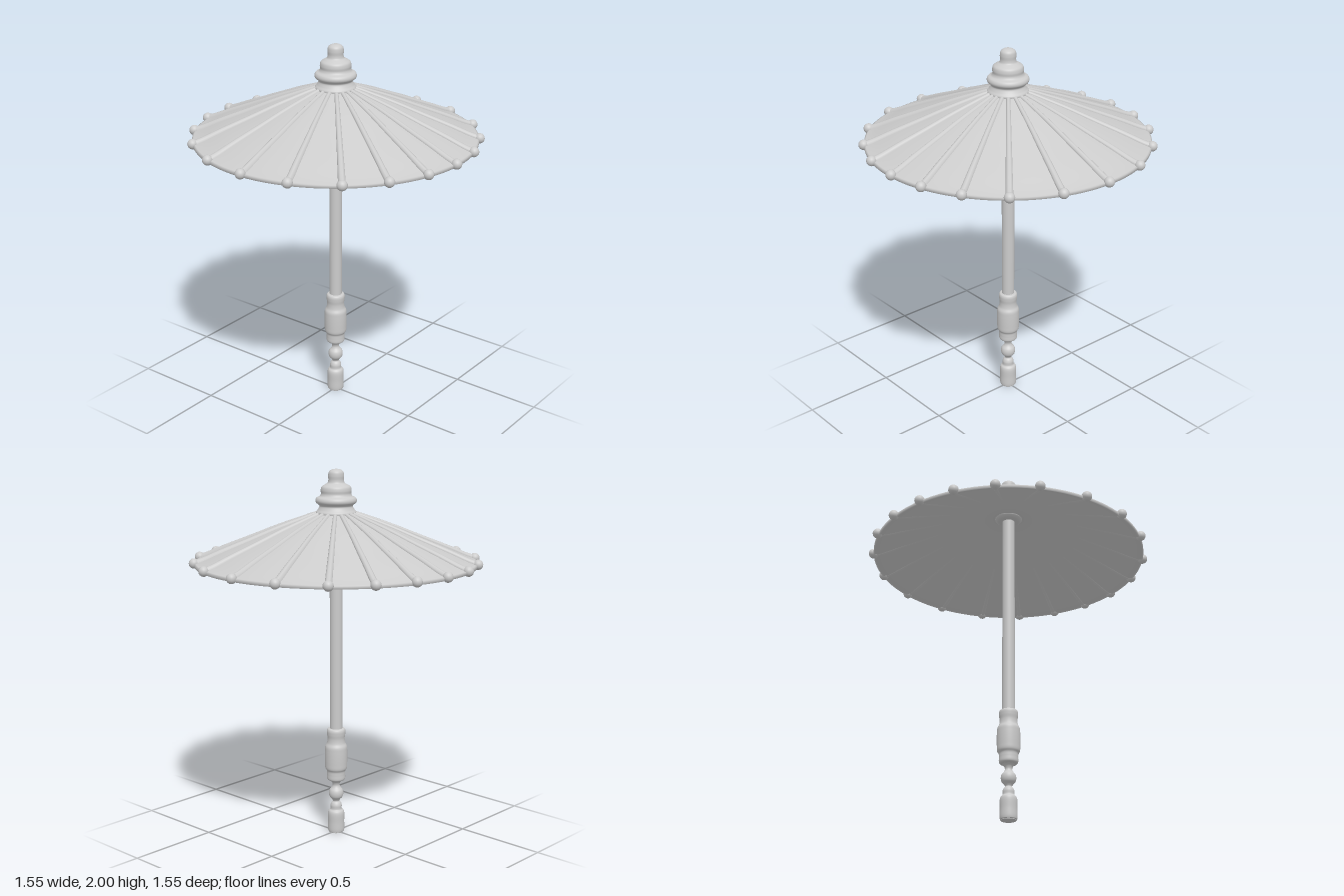
import * as THREE from 'three';

const material = new THREE.MeshStandardMaterial({ color: 0xcccccc, roughness: 0.8 });

function add(parent, name, geometry) {
  const mesh = new THREE.Mesh(geometry, material);
  mesh.name = name;
  parent.add(mesh);
  return mesh;
}

// Rounded turned profile: [radius, height] points, bottom to top
function turned(points, steps = 100) {
  const path = new THREE.CatmullRomCurve3(
    points.map(([r, y]) => new THREE.Vector3(r, y, 0)), false, 'centripetal');
  const profile = path.getPoints(steps).map(p => new THREE.Vector2(Math.max(p.x, 0), p.y));
  return new THREE.LatheGeometry(profile, 48);
}

// Canopy surface, from crown to rim
const slope = new THREE.CatmullRomCurve3([
  [0.03, 1.783], [0.1, 1.77], [0.2, 1.735], [0.31, 1.694],
  [0.45, 1.636], [0.6, 1.575], [0.7, 1.532], [0.745, 1.517],
].map(([r, y]) => new THREE.Vector3(r, y, 0)), false, 'centripetal');

// Rib directions, measured from the z axis and mirrored into all quadrants
const quarter = [0, 20, 40, 57.5, 74.2];
const ribAngles = [];
for (const a of quarter) {
  ribAngles.push(a, 180 + a);
  if (a > 0) ribAngles.push(-a, 180 - a);
}
ribAngles.push(90, -90);

export function createModel() {
  const model = new THREE.Group();
  model.name = 'parasol';

  // Thin closed shell: up the underside, round the rim, back to the crown
  const top = slope.getPoints(40);
  const shell = [
    ...top.map(p => new THREE.Vector2(p.x, p.y - 0.016)),
    ...top.slice().reverse().map(p => new THREE.Vector2(p.x, p.y)),
  ];
  const canopy = add(model, 'canopy', new THREE.LatheGeometry(shell, 120));
  canopy.material = material.clone();
  canopy.material.side = THREE.DoubleSide;

  // Ribs half sunk in the canopy, with a rounded knob at each tip
  const ribPath = new THREE.CatmullRomCurve3(
    slope.getPoints(24).slice(2).map(p => new THREE.Vector3(0, p.y - 0.001, p.x)));
  const ribGeometry = new THREE.TubeGeometry(ribPath, 32, 0.019, 10);
  const position = ribGeometry.attributes.position;
  for (let i = 0; i <= 32; i++) {
    const centre = ribPath.getPointAt(i / 32);
    const thickness = 0.55 + 0.45 * i / 32;
    for (let j = 0; j <= 10; j++) {
      const v = new THREE.Vector3().fromBufferAttribute(position, i * 11 + j);
      v.sub(centre).multiplyScalar(thickness).add(centre);
      position.setXYZ(i * 11 + j, v.x, v.y, v.z);
    }
  }
  ribGeometry.computeVertexNormals();
  const knobGeometry = new THREE.SphereGeometry(0.027, 18, 14);
  for (const angle of ribAngles) {
    const rib = new THREE.Group();
    rib.name = 'rib';
    rib.rotation.y = THREE.MathUtils.degToRad(angle);
    add(rib, 'ribRod', ribGeometry);
    add(rib, 'ribKnob', knobGeometry).position.set(0, 1.518, 0.747);
    model.add(rib);
  }

  // Stepped finial on the crown
  add(model, 'finial', turned([
    [0, 1.755], [0.1, 1.758], [0.107, 1.775], [0.096, 1.79], [0.088, 1.807], [0.092, 1.815],
    [0.106, 1.826], [0.109, 1.838], [0.103, 1.851], [0.086, 1.86], [0.08, 1.872],
    [0.081, 1.89], [0.076, 1.908], [0.058, 1.92], [0.045, 1.928], [0.041, 1.942],
    [0.042, 1.965], [0.038, 1.985], [0.022, 1.997], [0, 2],
  ], 140));

  // Pole and the small hub where it meets the underside
  add(model, 'pole', new THREE.CylinderGeometry(0.034, 0.034, 1.2, 32)).position.y = 1.17;
  add(model, 'hub', turned([[0.034, 1.735], [0.06, 1.738], [0.075, 1.752], [0.075, 1.765]], 16));

  // Turned grip
  add(model, 'grip', turned([
    [0, 0.298], [0.04, 0.3], [0.049, 0.308], [0.05, 0.335], [0.051, 0.355], [0.059, 0.37],
    [0.061, 0.4], [0.061, 0.47], [0.059, 0.495], [0.05, 0.515], [0.047, 0.54],
    [0.05, 0.565], [0.05, 0.585], [0.044, 0.595], [0, 0.598],
  ]));

  // Bead and foot below the grip
  add(model, 'beadAndFoot', turned([
    [0, 0.004], [0.042, 0.004], [0.045, 0.012], [0.045, 0.06], [0.045, 0.11], [0.041, 0.123],
    [0.032, 0.133], [0.031, 0.155], [0.026, 0.168], [0.018, 0.178], [0.022, 0.188],
    [0.036, 0.205], [0.04, 0.224], [0.036, 0.243], [0.023, 0.26], [0.019, 0.272],
    [0.024, 0.288], [0.038, 0.302],
  ], 140));
  add(model, 'footCap', new THREE.CylinderGeometry(0.04, 0.04, 0.01, 32)).position.y = 0.005;

  return model;
}
